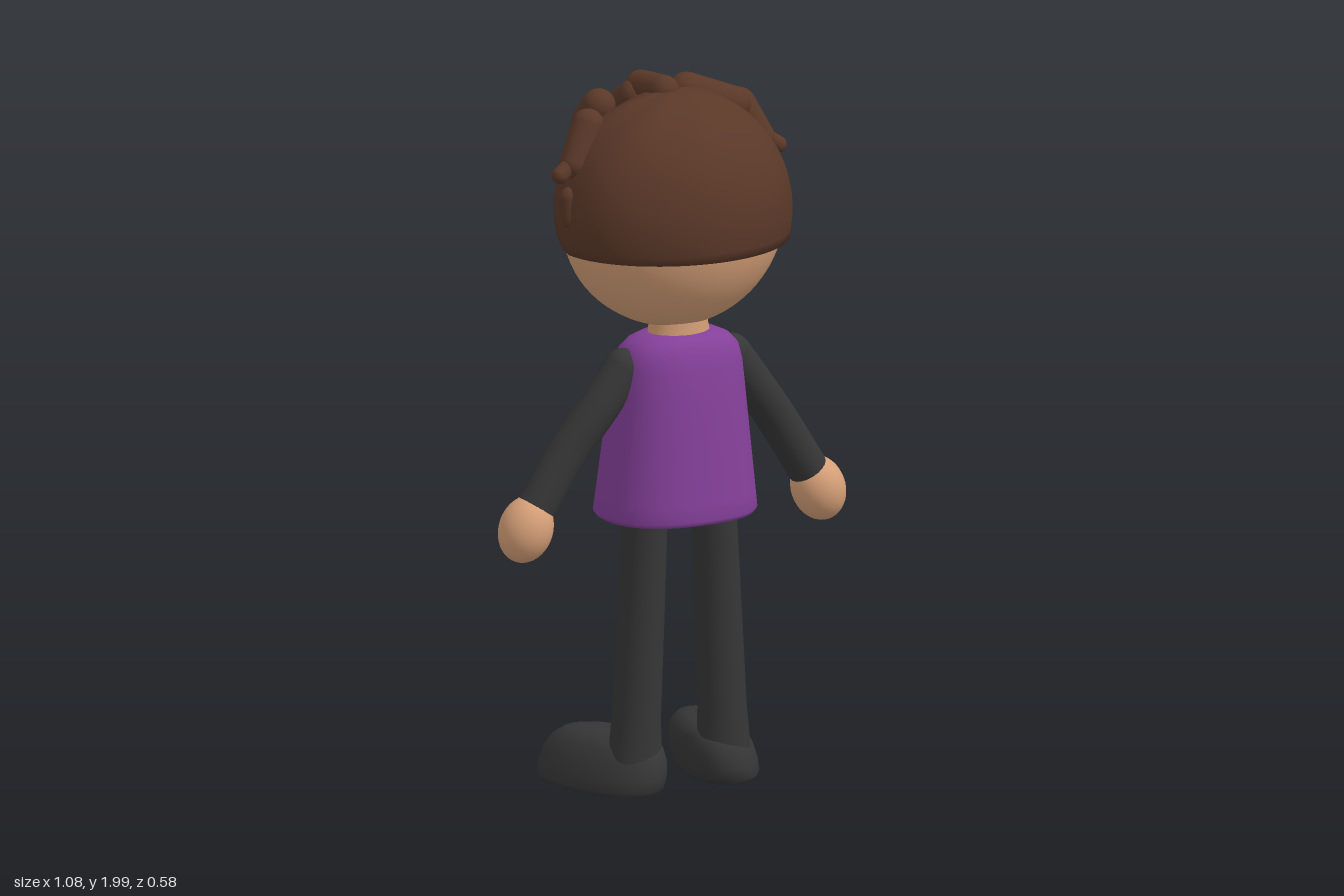
import * as THREE from 'three';

const mat = (name, color) => {
  const m = new THREE.MeshStandardMaterial({ color });
  m.name = name;
  return m;
};
const V = (x, y, z) => new THREE.Vector3(x, y, z);

// Skin through closed rings of points, listed bottom to top
function loft(rings) {
  const n = rings[0].length, idx = [];
  for (let i = 0; i < rings.length - 1; i++) for (let j = 0; j < n; j++) {
    const k = (j + 1) % n, a = i * n + j, b = i * n + k;
    idx.push(a, a + n, b, b, a + n, b + n);
  }
  const g = new THREE.BufferGeometry().setFromPoints(rings.flat());
  g.setIndex(idx);
  g.computeVertexNormals();
  return g;
}

// Ring of a superellipse: centre, half width, half depth, squareness, turn about y
function ring(cx, y, cz, w, d, p = 1, turn = 0, n = 36) {
  return Array.from({ length: n }, (_, j) => {
    const t = j / n * Math.PI * 2, c = Math.cos(t), s = Math.sin(t);
    const q = V(Math.sign(c) * Math.abs(c) ** p * w, 0, Math.sign(s) * Math.abs(s) ** p * d);
    return q.applyAxisAngle(V(0, 1, 0), turn).add(V(cx, y, cz));
  });
}

// Head surface: round at the back, flatter and fuller at the face (-z)
const HEAD_Y = 1.62, HEAD_R = 0.32, HEAD_D = 0.27;
const faceDepth = (s, y) => HEAD_D * s ** (y < HEAD_Y ? 0.35 : 1.3);
function headPoint(t, v, off = 0) {
  const s = Math.max(0, Math.sin(Math.PI * v)), y = HEAD_Y - HEAD_R * Math.cos(Math.PI * v);
  const sz = Math.sin(t);
  const p = V(HEAD_R * s * Math.cos(t), y, sz * (sz > 0 ? HEAD_D * s : faceDepth(s, y)));
  const out = p.clone().sub(V(0, HEAD_Y, 0)).normalize();
  return p.addScaledVector(out, off);
}
function faceZ(x, y) {
  const s = Math.sqrt(1 - ((y - HEAD_Y) / HEAD_R) ** 2), c = x / (HEAD_R * s);
  return -Math.sqrt(1 - c * c) * faceDepth(s, y);
}

// Thin curved plate lying on the face between two height curves
function facePlate(x0, x1, lo, hi) {
  const pts = [], idx = [], N = 20, M = 4;
  for (let i = 0; i <= N; i++) for (let j = 0; j <= M; j++) {
    const u = i / N, x = x0 + (x1 - x0) * u, y = lo(u) + (hi(u) - lo(u)) * j / M;
    pts.push(V(x, y, faceZ(x, y) - (j % M ? 0.008 : 0.002)));
    if (i < N && j < M) {
      const a = i * (M + 1) + j, b = a + M + 1;
      idx.push(a, a + 1, b, b, a + 1, b + 1);
    }
  }
  const g = new THREE.BufferGeometry().setFromPoints(pts);
  g.setIndex(idx);
  g.computeVertexNormals();
  return g;
}

// Round-ended lock between two points
function lock(a, b, r) {
  const d = b.clone().sub(a);
  const g = new THREE.CapsuleGeometry(r, d.length(), 8, 16);
  g.applyQuaternion(new THREE.Quaternion().setFromUnitVectors(V(0, 1, 0), d.clone().normalize()));
  const m = a.clone().add(b).multiplyScalar(0.5);
  return g.translate(m.x, m.y, m.z);
}

export function createModel() {
  const root = new THREE.Group();
  root.name = 'figure';
  const skin = mat('skin', 0xd6a078), hairMat = mat('brown hair', 0x5a3828);
  const purple = mat('purple shirt', 0x85409a), dark = mat('dark cloth', 0x363636);
  const black = mat('black', 0x242628), browMat = mat('brow brown', 0x4e2c1e);
  black.side = browMat.side = THREE.DoubleSide;
  const add = (name, geo, m, parent = root) => {
    const mesh = new THREE.Mesh(geo, m);
    mesh.name = name;
    parent.add(mesh);
    return mesh;
  };

  // Head and neck
  const N = 56, angles = Array.from({ length: N }, (_, j) => j / N * Math.PI * 2);
  add('head', loft(Array.from({ length: 37 }, (_, i) => angles.map(t => headPoint(t, i / 36)))), skin);
  add('neck', loft([ring(0, 1.24, 0.035, 0.1, 0.07), ring(0, 1.31, 0.03, 0.085, 0.07), ring(0, 1.37, 0.02, 0.1, 0.08)]), skin);

  // Hair cap: its lower edge rises from the nape to the forehead
  const startV = t => {
    const y = 1.54 + 0.26 * THREE.MathUtils.smoothstep(-Math.sin(t), 0, 0.9);
    return Math.acos((HEAD_Y - y) / HEAD_R) / Math.PI;
  };
  const hair = new THREE.Group();
  hair.name = 'hair';
  root.add(hair);
  add('hairCap', loft(Array.from({ length: 26 }, (_, i) => angles.map(t => {
    const k = Math.max(0, i - 1) / 24, v0 = startV(t);
    const wave = 0.003 * Math.sin(7 * t + 5 * k) * Math.sin(Math.PI * k);
    return headPoint(t, v0 + (1 - v0) * k, i ? 0.021 + wave : -0.01);
  }))), hairMat, hair);

  // Curls on the crown and fringe
  [
    [0.06, 1.89, -0.17, 0.19, 1.87, -0.15, 0.055],
    [0.09, 1.93, -0.08, 0.2, 1.89, -0.02, 0.05],
    [0.22, 1.84, -0.12, 0.22, 1.88, -0.04, 0.045],
    [-0.02, 1.945, -0.14, -0.015, 1.955, -0.02, 0.042],
    [-0.06, 1.86, -0.215, -0.04, 1.92, -0.14, 0.045],
    [-0.18, 1.86, -0.15, -0.165, 1.91, -0.12, 0.047],
    [-0.2, 1.82, -0.15, -0.08, 1.85, -0.19, 0.04],
    [0, 1.86, -0.2, 0.14, 1.84, -0.19, 0.04],
  ].forEach(([a, b, c, d, e, f, r]) => add('curl', lock(V(a, b, c), V(d, e, f), r), hairMat, hair));

  // Side locks, mirrored
  for (const s of [-1, 1]) [
    [0.29, 1.78, -0.03, 0.24, 1.88, -0.05, 0.045],
    [0.28, 1.8, -0.03, 0.345, 1.757, -0.02, 0.024],
    [0.315, 1.635, 0, 0.315, 1.69, -0.01, 0.034],
  ].forEach(([a, b, c, d, e, f, r]) => add('sideLock', lock(V(s * a, b, c), V(s * d, e, f), r), hairMat, hair));

  // Face
  const arch = u => 4 * u * (1 - u);
  for (const s of [-1, 1]) {
    const eye = add('eye', new THREE.SphereGeometry(1, 24, 16), black);
    eye.scale.set(0.027, 0.05, 0.02);
    eye.position.set(s * 0.088, 1.57, faceZ(0.088, 1.57) - 0.004);
    eye.rotation.y = -s * -0.25;
    const mid = u => 1.69 + 0.02 * arch(u);
    const half = u => 0.003 + 0.009 * arch(u) ** 0.5;
    const edge = s * 0.1;
    add('eyebrow', facePlate(edge - 0.055, edge + 0.055, u => mid(u) - half(u), u => mid(u) + half(u)), browMat);
  }
  add('smile', facePlate(-0.105, 0.105, u => 1.465 - 0.055 * arch(u), u => 1.472 - 0.036 * arch(u)), black);

  // Shirt: [y, half width, centre z, half depth]
  const shirt = [
    [0.785, 0.01, 0.01, 0.01], [0.78, 0.2, 0.01, 0.165], [0.772, 0.218, 0.012, 0.18], [0.785, 0.226, 0.013, 0.187],
    [0.83, 0.221, 0.015, 0.182], [1.0, 0.203, 0.02, 0.162], [1.12, 0.19, 0.024, 0.148],
    [1.2, 0.182, 0.027, 0.134], [1.245, 0.17, 0.03, 0.12], [1.272, 0.145, 0.032, 0.102],
    [1.288, 0.11, 0.034, 0.08], [1.292, 0.07, 0.034, 0.05], [1.285, 0.01, 0.034, 0.01],
  ];
  const shirtGeo = loft(shirt.map(([y, w, z, d]) => ring(0, y, z, w, d, 0.85, 0, 48)));
  add('shirt', shirtGeo, purple);
  add('hips', loft([ring(0, 0.755, 0.03, 0.01, 0.01), ring(0, 0.757, 0.03, 0.13, 0.07),
    ring(0, 0.77, 0.025, 0.18, 0.12), ring(0, 0.8, 0.02, 0.19, 0.14)]), dark);

  // Limbs, mirrored
  for (const s of [-1, 1]) {
    const side = s > 0 ? 'left' : 'right';
    add(side + 'Leg', loft([[0.08, 0.142, 0.075], [0.16, 0.138, 0.071], [0.21, 0.136, 0.067], [0.5, 0.122, 0.064], [0.8, 0.108, 0.06]]
      .map(([y, x, r]) => ring(s * x, y, 0.035, r, 0.07))), dark);

    // Foot, turned outward
    add(side + 'Foot', loft([[0.012, 0.01], [0.008, 0.75], [0.004, 0.92], [0.02, 0.99], [0.05, 1], [0.09, 0.96],
      [0.125, 0.86], [0.147, 0.7], [0.158, 0.45], [0.162, 0.01]]
      .map(([y, k]) => ring(s * (0.187 - 0.035 * y / 0.16), y, -0.08, 0.11 * k, 0.212 * k, 0.9, -s * 0.29))), dark);

    // Arm with rounded shoulder
    const path = new THREE.CatmullRomCurve3([V(s * 0.17, 1.2, 0.025), V(s * 0.245, 1.1, 0.02),
      V(s * 0.335, 0.98, 0.002), V(s * 0.43, 0.835, -0.005)]);
    add(side + 'Sleeve', new THREE.TubeGeometry(path, 20, 0.056, 20), dark);
    add(side + 'Shoulder', new THREE.SphereGeometry(0.056, 20, 14).translate(s * 0.17, 1.2, 0.025), dark);
    add(side + 'Cuff', new THREE.SphereGeometry(0.0555, 20, 14).translate(s * 0.428, 0.838, -0.005), skin);

    const hand = add(side + 'Hand', new THREE.SphereGeometry(1, 28, 20), skin);
    hand.scale.set(0.075, 0.094, 0.076);
    hand.position.set(s * 0.463, 0.777, -0.004);
    hand.rotation.z = s * 0.35;
  }
  return root;
}
